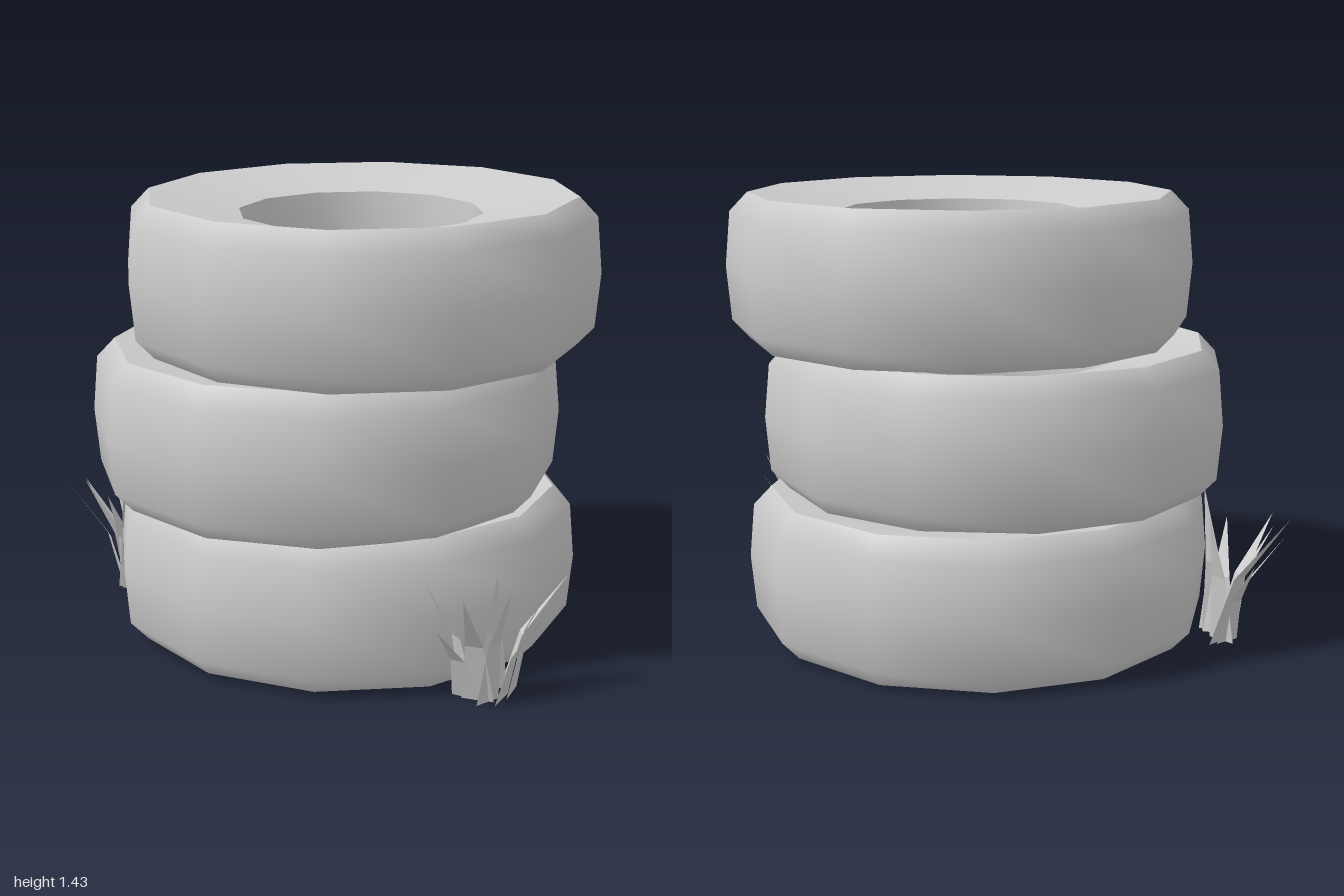
import * as THREE from 'three';

const rubberGrey = new THREE.MeshStandardMaterial({ color: 0xcccccc, side: THREE.DoubleSide });
rubberGrey.name = 'lightGrey';

const SIDES = 12;
const INNER = 0.387, WAIST = 0.372, RIM = 0.68, SHOULDER = 0.738, OUTER = 0.754;
const HALF = 0.236, SHOULDER_Y = 0.175, INNER_Y = 0.178;

// One revolved strip of the tyre, smooth within itself
function strip(name, points) {
  const geometry = new THREE.LatheGeometry(points.map(([r, y]) => new THREE.Vector2(r, y)), SIDES);
  const mesh = new THREE.Mesh(geometry, rubberGrey);
  mesh.name = name;
  return mesh;
}

// Tyre with walls that dish inward towards the hole
function makeTyre(name, x, y, z, turn, tiltX, tiltZ) {
  const tyre = new THREE.Group();
  tyre.name = name;
  tyre.add(
    strip('tread', [[RIM, -HALF], [SHOULDER, -SHOULDER_Y], [OUTER, 0], [SHOULDER, SHOULDER_Y], [RIM, HALF]]),
    strip('topWall', [[RIM, HALF], [INNER, INNER_Y]]),
    strip('hole', [[INNER, INNER_Y], [WAIST, 0], [INNER, -INNER_Y]]),
    strip('bottomWall', [[INNER, -INNER_Y], [RIM, -HALF]])
  );
  tyre.position.set(x, y, z);
  tyre.rotation.set(tiltX, THREE.MathUtils.degToRad(turn), tiltZ, 'ZXY');
  return tyre;
}

// Bent, tapering blade: two segments ending in a point
function makeBlade([bx, bz, tx, ty, tz, width]) {
  const base = new THREE.Vector3(bx, 0, bz);
  const tip = new THREE.Vector3(tx, ty, tz);
  const mid = base.clone().lerp(tip, 0.28).setY(ty * 0.5);
  const side = new THREE.Vector3(tz - bz, 0, bx - tx).normalize();
  const edge = (p, w) => p.clone().addScaledVector(side, w / 2);
  const a = edge(base, width), b = edge(base, -width);
  const c = edge(mid, width * 0.55), d = edge(mid, -width * 0.55);
  const geometry = new THREE.BufferGeometry().setFromPoints([a, b, d, a, d, c, c, d, tip]);
  geometry.computeVertexNormals();
  const mesh = new THREE.Mesh(geometry, rubberGrey);
  mesh.name = 'grassBlade';
  return mesh;
}

function makeClump(name, blades) {
  const clump = new THREE.Group();
  clump.name = name;
  blades.forEach((blade) => clump.add(makeBlade(blade)));
  return clump;
}

export function createModel() {
  const model = new THREE.Group();
  model.name = 'tyreStack';

  // Three tyres, each shifted and turned a little
  model.add(
    makeTyre('bottomTyre', 0.022, 0.244, -0.02, 6.5, -0.005, 0),
    makeTyre('middleTyre', -0.005, 0.715, 0.04, -17, 0.009, -0.003),
    makeTyre('topTyre', 0.1, 1.191, -0.01, 6, 0.01, -0.005)
  );

  // Blades: base x, base z, tip x, tip y, tip z, base width
  model.add(
    makeClump('leftGrass', [
      [0.84, 0.10, 0.98, 0.44, 0.04, 0.11],
      [0.81, 0.11, 0.95, 0.38, -0.02, 0.10],
      [0.85, 0.16, 0.98, 0.30, 0.12, 0.10],
      [0.80, 0.21, 0.88, 0.38, 0.38, 0.10],
      [0.76, 0.22, 0.80, 0.27, 0.40, 0.09],
      [0.75, 0.20, 0.70, 0.39, 0.35, 0.10],
      [0.83, 0.20, 0.92, 0.38, 0.21, 0.09],
      [0.78, 0.12, 0.80, 0.37, 0.13, 0.10]
    ]),
    makeClump('rightGrass', [
      [-0.74, 0.23, -0.99, 0.455, 0.18, 0.11],
      [-0.74, 0.27, -0.91, 0.35, 0.33, 0.10],
      [-0.72, 0.32, -0.80, 0.38, 0.48, 0.10],
      [-0.68, 0.32, -0.58, 0.45, 0.42, 0.09],
      [-0.74, 0.24, -0.72, 0.43, 0.17, 0.10],
      [-0.70, 0.30, -0.66, 0.36, 0.43, 0.10],
      [-0.76, 0.24, -0.87, 0.28, 0.20, 0.09],
      [-0.66, 0.33, -0.60, 0.21, 0.42, 0.08],
      [-0.73, 0.29, -0.85, 0.37, 0.38, 0.10]
    ])
  );
  return model;
}
